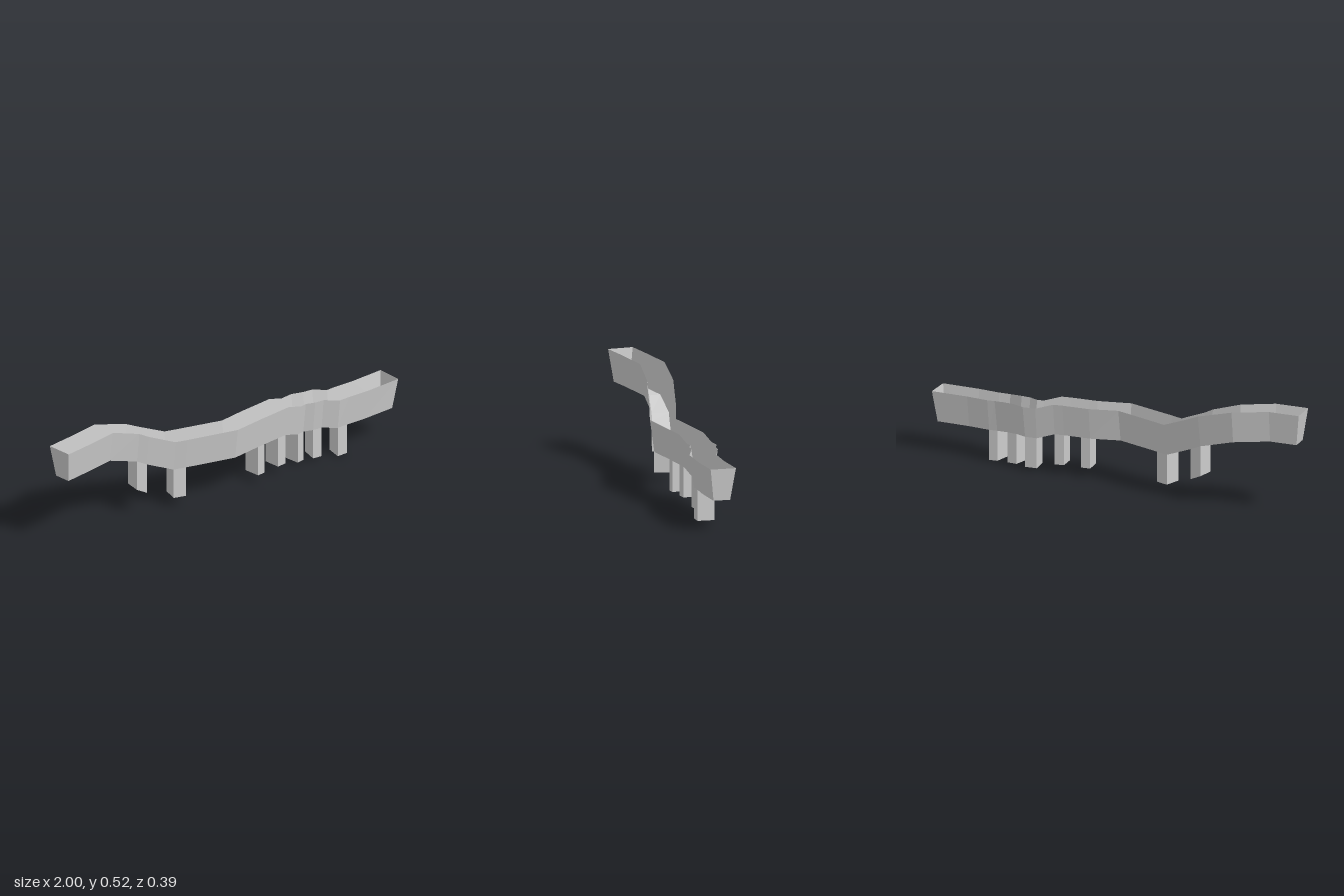
import * as THREE from 'three';

// Stations along the channel: centre x, centre z, floor height
const STATIONS = [
  [-1, -0.088, 0.36], [-0.84, -0.092, 0.362], [-0.665, -0.127, 0.346],
  [-0.495, -0.104, 0.294], [-0.44, -0.087, 0.266], [-0.3, -0.045, 0.205],
  [-0.24, -0.021, 0.205], [-0.005, 0.066, 0.205], [0.155, 0.051, 0.199],
  [0.2, 0.051, 0.199], [0.29, 0.05, 0.199], [0.34, 0.048, 0.198],
  [0.43, 0.041, 0.168], [0.48, 0.039, 0.168], [0.53, 0.061, 0.168],
  [0.58, 0.07, 0.167], [0.65, 0.106, 0.154], [0.7, 0.108, 0.153],
  [0.81, 0.122, 0.153], [1, 0.131, 0.153],
];
const POST_SPANS = [3, 5, 8, 10, 12, 14, 16]; // a post hangs below each of these spans
const FLOOR_HALF = 0.042, RIM_HALF = 0.064, WALL_HEIGHT = 0.158, POST_LENGTH = 0.153;

const material = new THREE.MeshStandardMaterial({
  color: 0xcccccc, flatShading: true, side: THREE.DoubleSide,
});

function quadMesh(name, quads) {
  const pos = quads.flatMap(([a, b, c, d]) => [a, b, c, a, c, d].flatMap((p) => p.toArray()));
  const geo = new THREE.BufferGeometry();
  geo.setAttribute('position', new THREE.Float32BufferAttribute(pos, 3));
  geo.computeVertexNormals();
  const mesh = new THREE.Mesh(geo, material);
  mesh.name = name;
  return mesh;
}

// Cross-section square to the path: floor and rim corners, front (+z) and back
function makeSection(i) {
  const last = STATIONS.length - 1;
  const slope = (a, b) => {
    const [p, q] = [STATIONS[a], STATIONS[b]];
    return new THREE.Vector3(q[0] - p[0], 0, q[1] - p[1]).normalize();
  };
  const along = new THREE.Vector3();
  if (i > 0) along.add(slope(i - 1, i));
  if (i < last) along.add(slope(i, i + 1));
  along.normalize();
  const across = new THREE.Vector3(-along.z, 0, along.x);
  const [x, z, y] = STATIONS[i];
  // the end walls lean outward, so the floor stops short of the rim
  const inset = i === 0 ? 0.02 : i === last ? -0.02 : 0;
  const floor = new THREE.Vector3(x + inset, y, z);
  const rim = new THREE.Vector3(x, y + WALL_HEIGHT, z);
  return {
    floorFront: floor.clone().addScaledVector(across, FLOOR_HALF),
    floorBack: floor.clone().addScaledVector(across, -FLOOR_HALF),
    rimFront: rim.clone().addScaledVector(across, RIM_HALF),
    rimBack: rim.clone().addScaledVector(across, -RIM_HALF),
  };
}

export function createModel() {
  const group = new THREE.Group();
  group.name = 'channel';
  const sections = STATIONS.map((_, i) => makeSection(i));
  const floor = [], front = [], back = [];
  for (let i = 0; i < sections.length - 1; i++) {
    const s = sections[i], e = sections[i + 1];
    floor.push([s.floorBack, e.floorBack, e.floorFront, s.floorFront]);
    front.push([s.floorFront, e.floorFront, e.rimFront, s.rimFront]);
    back.push([e.floorBack, s.floorBack, s.rimBack, e.rimBack]);
  }
  const s = sections[0], e = sections[sections.length - 1];

  // Open trough with sloping walls
  group.add(
    quadMesh('troughFloor', floor),
    quadMesh('frontWall', front),
    quadMesh('backWall', back),
    quadMesh('rightEndWall', [[s.floorBack, s.floorFront, s.rimFront, s.rimBack]]),
    quadMesh('leftEndWall', [[e.floorFront, e.floorBack, e.rimBack, e.rimFront]]),
  );

  // Support posts: floor spans drawn straight down
  const drop = new THREE.Vector3(0, -POST_LENGTH, 0);
  POST_SPANS.forEach((i, n) => {
    const a = sections[i], b = sections[i + 1];
    const top = [a.floorFront, b.floorFront, b.floorBack, a.floorBack];
    const low = top.map((p) => p.clone().add(drop));
    const quads = top.map((p, k) => {
      const m = (k + 1) % 4;
      return [low[k], low[m], top[m], p];
    });
    quads.push([low[3], low[2], low[1], low[0]]);
    group.add(quadMesh(`supportPost${n + 1}`, quads));
  });
  return group;
}
